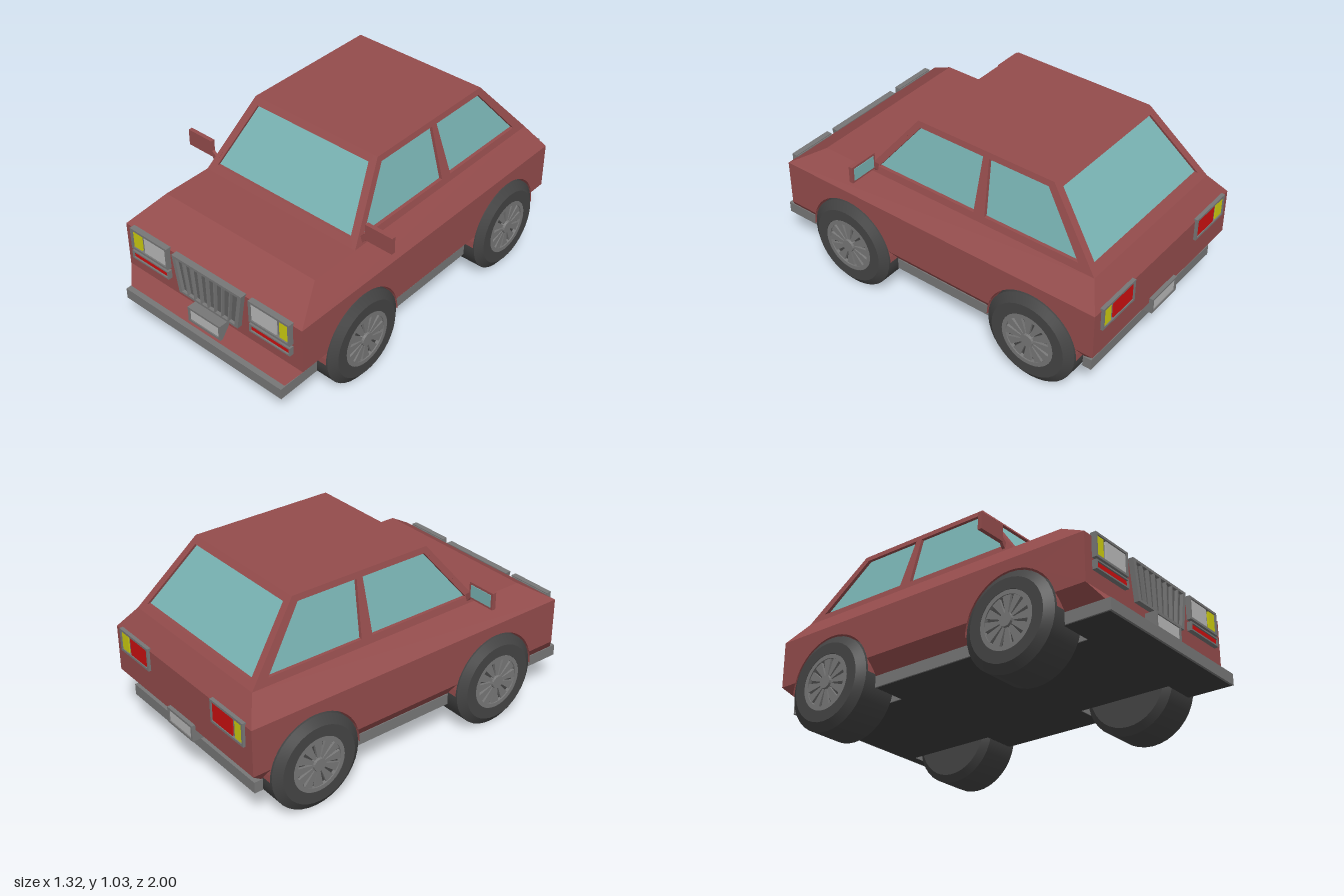
import * as THREE from 'three';
import { toCreasedNormals } from 'three/addons/utils/BufferGeometryUtils.js';

const mat = (color) => new THREE.MeshStandardMaterial({ color, flatShading: true, side: THREE.DoubleSide });
const paint = mat(0x944c4c), trim = mat(0x777777), dark = mat(0x3c3c3c), glass = mat(0x78b2b2);
const white = mat(0xb8b8b8), yellow = mat(0xcccc10), red = mat(0xcc1010), slotGrey = mat(0x606060);
const rubber = new THREE.MeshStandardMaterial({ color: 0x444444, side: THREE.DoubleSide });

const AXLES = [-0.633, 0.497], ARCH = 0.26, AXLE_Y = 0.25;

function add(parent, name, geometry, material) {
  const m = new THREE.Mesh(geometry, material);
  m.name = name;
  parent.add(m);
  return m;
}

// Box given by its extents on each axis
function box(parent, name, material, [x0, x1], [y0, y1], [z0, z1]) {
  const m = add(parent, name, new THREE.BoxGeometry(Math.abs(x1 - x0), y1 - y0, Math.abs(z1 - z0)), material);
  m.position.set((x0 + x1) / 2, (y0 + y1) / 2, (z0 + z1) / 2);
  return m;
}

// Flat-sided surface from four-cornered faces
function quads(parent, name, faces, material) {
  const pos = [];
  for (const [a, b, c, d] of faces) pos.push(...a, ...b, ...c, ...a, ...c, ...d);
  const g = new THREE.BufferGeometry();
  g.setAttribute('position', new THREE.Float32BufferAttribute(pos, 3));
  g.computeVertexNormals();
  return add(parent, name, g, material);
}

const shapeOf = (pts, holes = []) => {
  const s = new THREE.Shape(pts.map((p) => new THREE.Vector2(...p)));
  s.holes = holes.map((h) => new THREE.Path(h.map((p) => new THREE.Vector2(...p))));
  return s;
};

// Move every vertex of a geometry by a rule
function remap(g, rule) {
  const p = g.attributes.position;
  for (let i = 0; i < p.count; i++) p.setXYZ(i, ...rule(p.getX(i), p.getY(i), p.getZ(i)));
  g.computeVertexNormals();
  return g;
}

const extrude = (shape, depth) => new THREE.ExtrudeGeometry(shape, { depth, bevelEnabled: false });

// Sloping cabin wall with window openings and recessed panes
function cabinWall(parent, name, outline, windows, rule) {
  add(parent, name, remap(extrude(shapeOf(outline, windows), 0.025), (u, v, w) => rule(u, v, w - 0.025)), paint);
  for (const w of windows)
    add(parent, name + 'Glass', remap(new THREE.ShapeGeometry(shapeOf(w)), (u, v) => rule(u, v, -0.018)), glass);
}

function buildBody(car) {
  // Levels of the lower body: half width, height, front z, rear z
  const levels = [[0.52, 0.24, 0.97, -0.9], [0.58, 0.32, 0.91, -0.98], [0.58, 0.57, 0.91, -0.98], [0.485, 0.69, 0.72, -0.905]];
  const faces = [];
  for (let i = 0; i < 3; i++) {
    const [x0, y0, f0, r0] = levels[i], [x1, y1, f1, r1] = levels[i + 1];
    faces.push([[-x0, y0, f0], [x0, y0, f0], [x1, y1, f1], [-x1, y1, f1]]);
    faces.push([[x0, y0, r0], [-x0, y0, r0], [-x1, y1, r1], [x1, y1, r1]]);
  }
  quads(car, 'noseAndTail', faces, paint);
  quads(car, 'bonnet', [[[-0.485, 0.69, 0.72], [0.485, 0.69, 0.72], [0.485, 0.69, 0.4], [-0.485, 0.69, 0.4]]], paint);

  // Side panel outline with wheel arches
  const a0 = Math.asin(0.07 / ARCH), side = [[-0.98, 0.32]];
  for (const z of AXLES)
    for (let i = 0; i <= 20; i++) {
      const a = Math.PI - a0 - (i / 20) * (Math.PI - 2 * a0);
      side.push([z + ARCH * Math.cos(a), AXLE_Y + ARCH * Math.sin(a)]);
    }
  side.push([0.91, 0.32], [0.91, 0.57], [-0.98, 0.57]);

  // Sill pieces between the arches: top start, top end, bottom start, bottom end
  const [zr, zf] = AXLES;
  const sills = [[-0.98, zr - 0.25, -0.9, zr - ARCH], [zr + 0.25, zf - 0.25, zr + ARCH, zf - ARCH], [zf + 0.25, 0.91, zf + ARCH, 0.97]];

  for (const s of [1, -1]) {
    add(car, 'sidePanel', remap(new THREE.ShapeGeometry(shapeOf(side)), (u, v) => [s * 0.58, v, u]), paint);
    quads(car, 'shoulder', [[[s * 0.58, 0.57, 0.91], [s * 0.58, 0.57, -0.98], [s * 0.485, 0.69, -0.905], [s * 0.485, 0.69, 0.72]]], paint);
    quads(car, 'sill', sills.map(([a, b, c, d]) =>
      [[s * 0.58, 0.32, a], [s * 0.58, 0.32, b], [s * 0.52, 0.24, d], [s * 0.52, 0.24, c]]), paint);
    // Wheel wells
    for (const z of AXLES) {
      const wall = add(car, 'wheelWell', new THREE.CylinderGeometry(ARCH, ARCH, 0.24, 24, 1, true, 0, Math.PI), paint);
      wall.rotation.z = Math.PI / 2;
      wall.position.set(s * 0.46, AXLE_Y, z);
      const cap = add(car, 'wheelWellInner', new THREE.CircleGeometry(ARCH, 24, 0, Math.PI), dark);
      cap.rotation.y = Math.PI / 2;
      cap.position.set(s * 0.34, AXLE_Y, z);
    }
  }

  // Bumper and floor slab, notched for the wheels
  const edge = [];
  for (const z of AXLES) edge.push([0.525, z - ARCH], [0.34, z - ARCH], [0.34, z + ARCH], [0.525, z + ARCH]);
  const right = [[0.525, -0.94], ...edge, [0.525, 1]];
  const left = right.map(([x, z]) => [-x, z]).reverse();
  add(car, 'bumperSlab', remap(extrude(shapeOf([...right, ...left]), 0.06), (x, z, w) => [x, 0.18 + w, z]), trim);
  add(car, 'floor', remap(new THREE.ShapeGeometry(shapeOf([...right, ...left])), (x, z) => [x * 0.99, 0.178, z * 0.99]), dark);
}

function buildCabin(car) {
  const frontZ = (y) => 0.445 - (y - 0.69) * 0.78;
  const rearZ = (y) => -0.905 + (y - 0.69) * 0.868;
  const sideX = (y) => 0.485 - (y - 0.69) * 0.28;
  const end = [[-0.485, 0.69], [0.485, 0.69], [0.39, 1.03], [-0.39, 1.03]];
  cabinWall(car, 'windscreen', end, [[[-0.435, 0.72], [0.435, 0.72], [0.355, 1], [-0.355, 1]]], (u, v, w) => [u, v, frontZ(v) + w]);
  cabinWall(car, 'rearHatch', end, [[[-0.437, 0.72], [0.437, 0.72], [0.358, 1], [-0.358, 1]]], (u, v, w) => [u, v, rearZ(v) - w]);
  const sideEnd = [[-0.905, 0.69], [0.445, 0.69], [0.18, 1.03], [-0.61, 1.03]];
  const panes = [
    [[-0.215, 0.725], [0.375, 0.725], [0.16, 1], [-0.215, 1]],
    [[-0.81, 0.725], [-0.28, 0.725], [-0.25, 1], [-0.585, 1]],
  ];
  for (const s of [1, -1]) cabinWall(car, 'cabinSide', sideEnd, panes, (u, v, w) => [s * (sideX(v) + w), v, u]);
  quads(car, 'roof', [[[-0.39, 1.03, 0.18], [0.39, 1.03, 0.18], [0.39, 1.03, -0.61], [-0.39, 1.03, -0.61]]], paint);
}

// Rectangular rim around a lamp or plate
function rim(parent, name, [x0, x1], [y0, y1], z, depth, t = 0.012) {
  const rect = (d) => [[x0 + d, y0 + d], [x1 - d, y0 + d], [x1 - d, y1 - d], [x0 + d, y1 - d]];
  add(parent, name, extrude(shapeOf(rect(0), [rect(t)]), depth), trim).position.z = z;
}

function buildLamps(car) {
  for (const s of [1, -1]) {
    const X = (a, b) => (s > 0 ? [a, b] : [-b, -a]);
    box(car, 'headlampHousing', trim, X(0.275, 0.52), [0.465, 0.58], [0.9, 0.918]);
    rim(car, 'headlampRim', X(0.27, 0.525), [0.46, 0.585], 0.905, 0.03);
    box(car, 'headlamp', white, X(0.282, 0.436), [0.472, 0.573], [0.9, 0.928]);
    box(car, 'frontIndicator', yellow, X(0.457, 0.512), [0.472, 0.573], [0.9, 0.928]);
    rim(car, 'frontRedRim', X(0.27, 0.525), [0.4, 0.447], 0.905, 0.03, 0.008);
    box(car, 'frontRedStrip', red, X(0.278, 0.517), [0.408, 0.439], [0.9, 0.927]);

    box(car, 'tailLampHousing', trim, X(0.275, 0.525), [0.465, 0.58], [-0.982, -0.97]);
    rim(car, 'tailLampRim', X(0.27, 0.53), [0.46, 0.585], -0.994, 0.02);
    box(car, 'tailLamp', red, X(0.282, 0.44), [0.472, 0.573], [-0.989, -0.97]);
    box(car, 'rearIndicator', yellow, X(0.46, 0.518), [0.472, 0.573], [-0.989, -0.97]);
  }
  // Blank plates front and rear
  rim(car, 'frontPlateRim', [-0.108, 0.108], [0.26, 0.347], 0.9, 0.07);
  box(car, 'frontPlate', white, [-0.097, 0.097], [0.271, 0.336], [0.9, 0.964]);
  rim(car, 'rearPlateRim', [-0.108, 0.108], [0.26, 0.347], -1, 0.08);
  box(car, 'rearPlate', white, [-0.097, 0.097], [0.271, 0.336], [-0.994, -0.92]);
}

function buildGrille(car) {
  const half = (y) => 0.195 + ((y - 0.37) / 0.21) * 0.035;
  const trapezoid = (y0, y1, a, b, inset) => [[a, y0], [b, y0], [b, y1], [a, y1]].map(([f, y]) => [f * (half(y) - inset), y]);
  const slots = [];
  for (let i = 0; i < 8; i++) slots.push(trapezoid(0.382, 0.566, -1 + i / 4 + 0.02, -1 + (i + 1) / 4 - 0.02, 0.018));
  add(car, 'grille', extrude(shapeOf(trapezoid(0.37, 0.58, -1, 1, 0), slots), 0.035), trim).position.z = 0.902;
  add(car, 'grilleBack', new THREE.ShapeGeometry(shapeOf(trapezoid(0.375, 0.57, -1, 1, 0.01))), slotGrey).position.z = 0.92;
}

function buildMirrors(car) {
  for (const s of [1, -1]) {
    const X = (a, b) => (s > 0 ? [a, b] : [-b, -a]);
    box(car, 'mirror', paint, X(0.5, 0.66), [0.73, 0.82], [0.373, 0.395]);
    box(car, 'mirrorGlass', glass, X(0.512, 0.648), [0.742, 0.808], [0.37, 0.38]);
    const arm = shapeOf([[0.465, 0.69], [0.49, 0.71], [0.505, 0.735], [0.505, 0.765], [0.47, 0.735]]);
    add(car, 'mirrorArm', remap(extrude(arm, 0.016), (x, y, z) => [s * x, y, z + 0.376]), paint);
  }
}

function buildWheel() {
  const wheel = new THREE.Group();
  wheel.name = 'wheel';
  // Tyre profile: radius, distance from the car's centre line
  const profile = [[0, 0.355], [0.215, 0.355], [0.25, 0.385], [0.25, 0.58], [0.207, 0.61], [0.148, 0.61], [0.142, 0.588], [0, 0.588]];
  const tyre = new THREE.LatheGeometry(profile.map((p) => new THREE.Vector2(...p)), 36);
  add(wheel, 'tyre', toCreasedNormals(tyre, 0.4), rubber).rotation.z = -Math.PI / 2;
  // Rim ring, hub and tapered spokes
  const face = new THREE.Group();
  face.name = 'rim';
  const ring = new THREE.Shape().absarc(0, 0, 0.147, 0, Math.PI * 2);
  ring.holes.push(new THREE.Path().absarc(0, 0, 0.125, 0, Math.PI * 2));
  add(face, 'rimRing', new THREE.ExtrudeGeometry(ring, { depth: 0.02, bevelEnabled: false, curveSegments: 18 }), trim);
  const hub = add(face, 'hub', new THREE.CylinderGeometry(0.034, 0.038, 0.026, 16), trim);
  hub.rotation.x = Math.PI / 2;
  hub.position.z = 0.013;
  const spoke = extrude(shapeOf([[0.03, -0.006], [0.128, -0.024], [0.128, 0.024], [0.03, 0.006]]), 0.014);
  for (let i = 0; i < 12; i++) add(face, 'spoke', spoke, trim).rotation.z = (i * Math.PI) / 6;
  face.rotation.y = Math.PI / 2;
  face.position.x = 0.589;
  wheel.add(face);
  return wheel;
}

export function createModel() {
  const car = new THREE.Group();
  car.name = 'car';
  buildBody(car);
  buildCabin(car);
  buildLamps(car);
  buildGrille(car);
  buildMirrors(car);
  for (const z of AXLES)
    for (const turn of [0, Math.PI]) {
      const wheel = buildWheel();
      wheel.position.set(0, AXLE_Y, z);
      wheel.rotation.y = turn;
      car.add(wheel);
    }
  return car;
}
